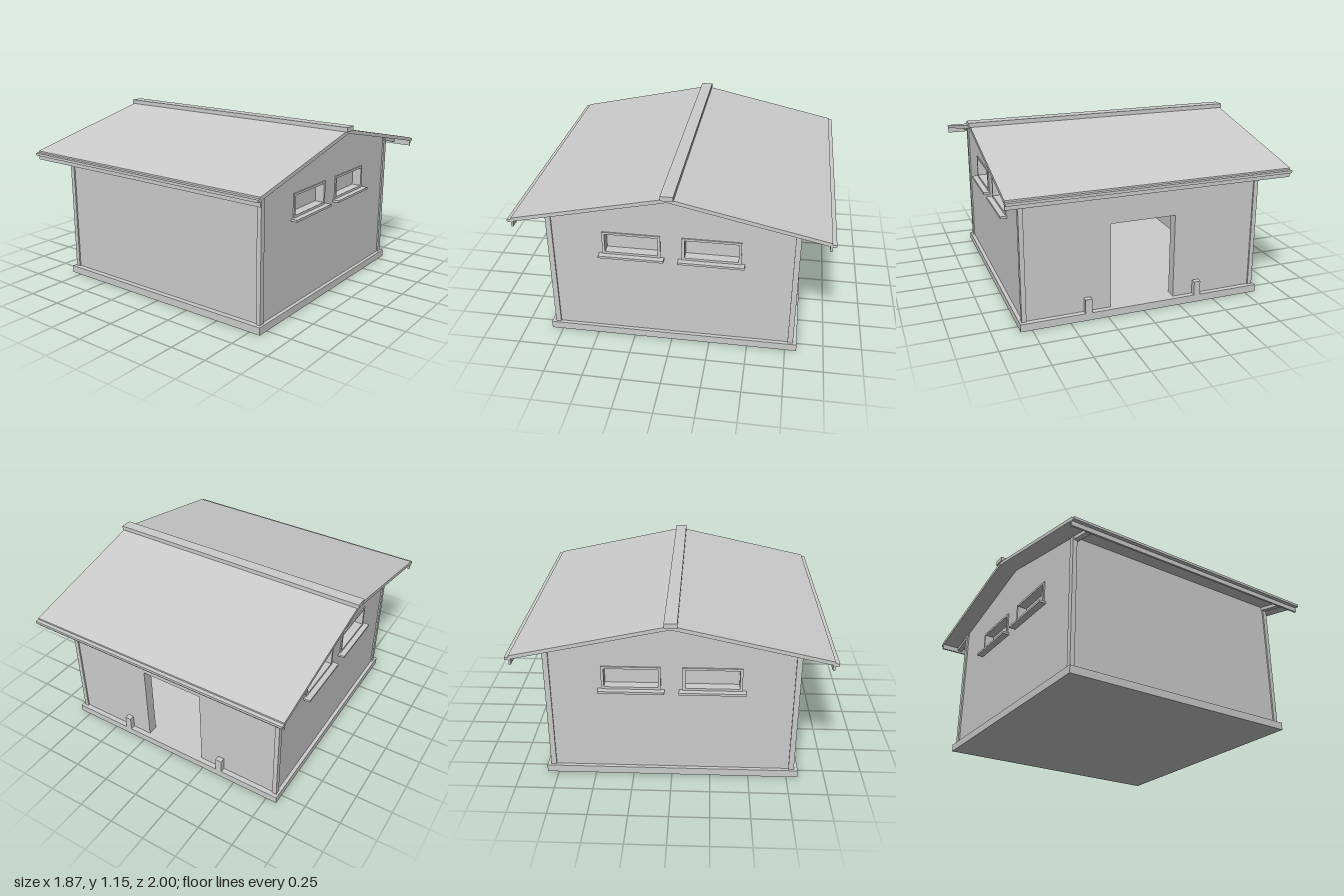
import * as THREE from 'three';

export function createModel() {
  const root = new THREE.Group();
  root.name = 'building';
  const grey = new THREE.MeshStandardMaterial({ color: 0xcccccc });
  grey.name = 'lightGrey';

  const add = (name, geometry, parent = root) => {
    const mesh = new THREE.Mesh(geometry, grey);
    mesh.name = name;
    parent.add(mesh);
    return mesh;
  };
  // Box given by its limits on each axis
  const box = (name, x0, x1, y0, y1, z0, z1, parent) => {
    const g = new THREE.BoxGeometry(Math.abs(x1 - x0), y1 - y0, Math.abs(z1 - z0));
    g.translate((x0 + x1) / 2, (y0 + y1) / 2, (z0 + z1) / 2);
    return add(name, g, parent);
  };
  const rect = (a, b, c, d, Type = THREE.Shape) =>
    new Type([[a, c], [b, c], [b, d], [a, d]].map(([x, y]) => new THREE.Vector2(x, y)));
  // Extrude a (z, y) outline along x from x0 to x1
  const alongX = (shape, x0, x1) => {
    const g = new THREE.ExtrudeGeometry(shape, { depth: x1 - x0, bevelEnabled: false });
    return g.rotateY(-Math.PI / 2).translate(x1, 0, 0);
  };
  const outline = (pts) => new THREE.Shape(pts.map(([z, y]) => new THREE.Vector2(z, y)));

  const slope = 0.22, topY = 1.13, underY = 1.105;
  const under = (z) => underY - slope * Math.abs(z);
  const wallX = 0.8, wallZ = 0.79, thick = 0.07;

  box('baseSlab', -0.825, 0.825, 0, 0.05, -0.825, 0.825);

  // Long walls, the back one with an open doorway
  const inner = wallZ - thick;
  box('frontWall', -wallX + thick, wallX - thick, 0.05, under(wallZ), inner, wallZ);
  const back = new THREE.Shape([
    [-wallX + thick, 0.05], [-0.22, 0.05], [-0.22, 0.62], [0.22, 0.62], [0.22, 0.05],
    [wallX - thick, 0.05], [wallX - thick, under(wallZ)], [-wallX + thick, under(wallZ)],
  ].map(([x, y]) => new THREE.Vector2(x, y)));
  add('backWall', new THREE.ExtrudeGeometry(back, { depth: thick, bevelEnabled: false }).translate(0, 0, -wallZ));
  for (const s of [-1, 1]) {
    box('doorBlock', s * 0.38 - 0.022, s * 0.38 + 0.022, 0.05, 0.145, -0.825, -wallZ);
  }

  // Gable walls with two framed windows each
  for (const side of [-1, 1]) {
    const gable = outline([
      [-wallZ, 0.05], [wallZ, 0.05], [wallZ, under(wallZ)], [0, underY], [-wallZ, under(wallZ)],
    ]);
    const at = (a, b) => (side > 0 ? [a, b] : [-b, -a]);
    for (const s of [-1, 1]) {
      const c = s * 0.255;
      gable.holes.push(rect(c - 0.17, c + 0.17, 0.648, 0.775, THREE.Path));
      const win = new THREE.Group();
      win.name = 'window';
      root.add(win);
      const frame = rect(c - 0.187, c + 0.187, 0.633, 0.79);
      frame.holes.push(rect(c - 0.17, c + 0.17, 0.648, 0.775, THREE.Path));
      add('windowFrame', alongX(frame, ...at(wallX, 0.808)), win);
      box('windowPane', side * 0.738, side * 0.745, 0.648, 0.775, c - 0.17, c + 0.17, win);
      box('windowSill', side * 0.79, side * 0.845, 0.618, 0.633, c - 0.21, c + 0.21, win);
    }
    add('gableWall', alongX(gable, ...at(wallX - thick, wallX)));

    // Corner posts and the rafter tails above them
    for (const s of [-1, 1]) {
      box('cornerPost', side * 0.78, side * 0.81, 0.05, under(0.8), s * 0.765, s * 0.8);
      const tail = outline([
        [s * 0.76, under(0.76) - 0.024], [s * 0.965, under(0.965) - 0.024],
        [s * 0.965, under(0.965)], [s * 0.76, under(0.76)],
      ]);
      add('rafterTail', alongX(tail, ...at(0.77, 0.805)));
    }
  }

  // Pitched roof, fascias, gutters and ridge cap
  const e = 0.975, fall = slope * e;
  const roof = outline([
    [-e, underY - fall], [0, underY], [e, underY - fall],
    [e, topY - fall], [0, topY], [-e, topY - fall],
  ]);
  add('roof', alongX(roof, -0.925, 0.925));
  for (const s of [-1, 1]) {
    box('fascia', -0.925, 0.925, 0.857, 0.895, s * 0.962, s * 0.975);
    box('gutter', -0.925, 0.925, 0.888, 0.905, s * 0.97, s);
  }
  box('ridgeCap', -0.935, 0.935, 1.12, 1.15, -0.04, 0.04);

  return root;
}
